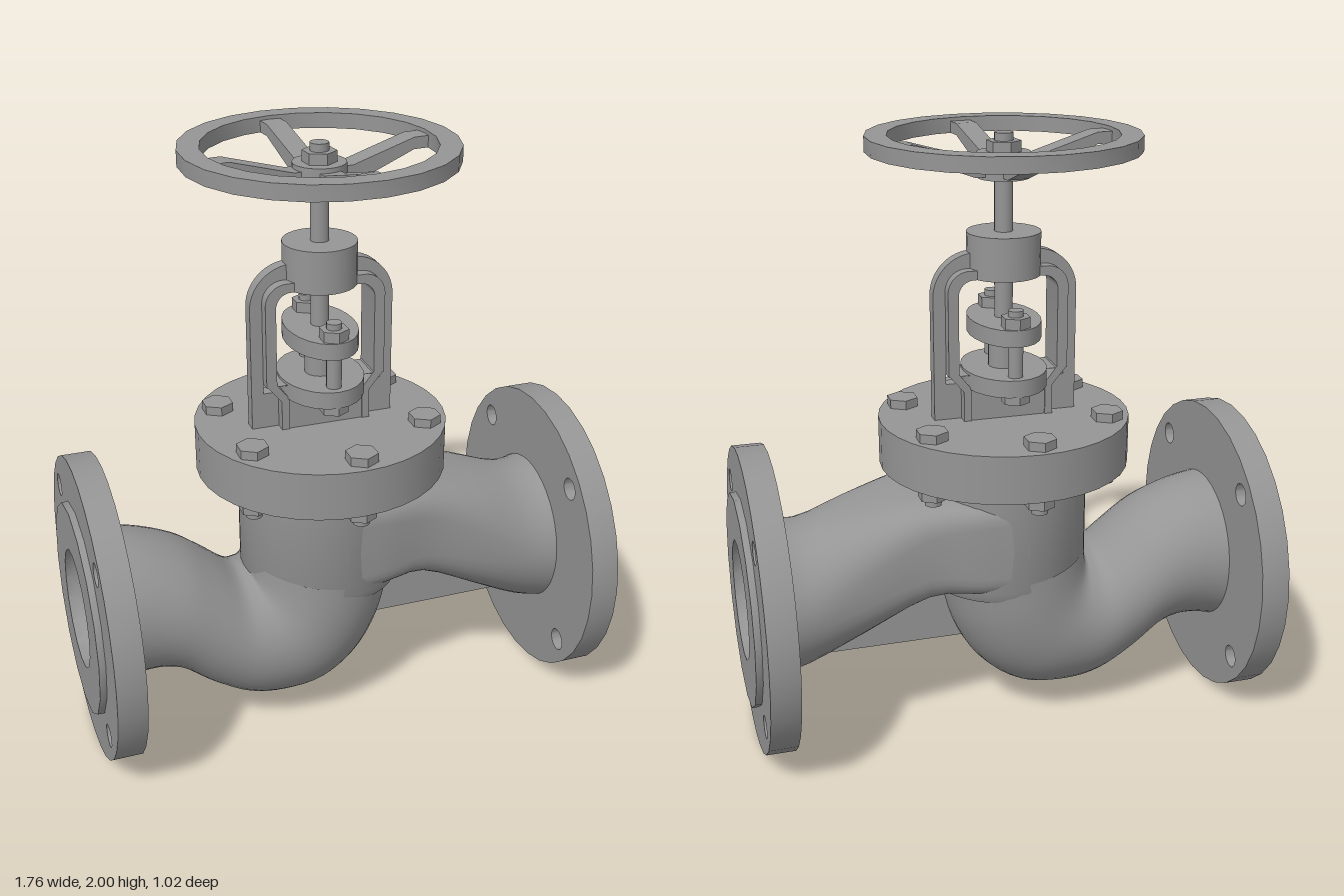
import * as THREE from 'three';
import { toCreasedNormals } from 'three/addons/utils/BufferGeometryUtils.js';

const castIron = new THREE.MeshStandardMaterial({ color: 0x959595 });
const castIronInside = new THREE.MeshStandardMaterial({ color: 0x959595, side: THREE.DoubleSide });
const AXIS = -0.025; // x of the stem axis

function add(parent, name, geo, x = 0, y = 0, z = 0, mat = castIron) {
  const m = new THREE.Mesh(geo, mat);
  m.name = name;
  m.position.set(x, y, z);
  parent.add(m);
  return m;
}

// upright cylinder from y0 to y1
function post(parent, name, r, y0, y1, x = 0, z = 0, sides = 24) {
  return add(parent, name, new THREE.CylinderGeometry(r, r, y1 - y0, sides), x, (y0 + y1) / 2, z);
}

// hexagonal nut or bolt head
function hex(parent, name, r, y0, y1, x = 0, z = 0) {
  const geo = toCreasedNormals(new THREE.CylinderGeometry(r, r, y1 - y0, 6), 0.5);
  return add(parent, name, geo, x, (y0 + y1) / 2, z);
}

const polygon = pts => new THREE.Shape(pts.map(p => new THREE.Vector2(...p)));

function extrude(shape, depth, curveSegments = 12) {
  const g = new THREE.ExtrudeGeometry(shape, { depth, bevelEnabled: false, curveSegments });
  g.translate(0, 0, -depth / 2);
  return toCreasedNormals(g, 0.6);
}

function lathe(profile, sides) {
  return toCreasedNormals(new THREE.LatheGeometry(profile.map(p => new THREE.Vector2(...p)), sides), 0.6);
}

function circle(r, x = 0, y = 0, Type = THREE.Path) {
  const p = new Type();
  p.absarc(x, y, r, 0, Math.PI * 2);
  return p;
}

// skin through sections [topX, topY, bottomX, bottomY, halfWidth, roundness], scaled about their centres
function loft(sections, steps, scale = 1, sides = 40) {
  const curve = f => new THREE.CatmullRomCurve3(sections.map(f), false, 'catmullrom', 0.5);
  const tops = curve(s => new THREE.Vector3(s[0], s[1], s[4]));
  const bottoms = curve(s => new THREE.Vector3(s[2], s[3], s[5] ?? 1));
  const power = (v, e) => Math.sign(v) * Math.abs(v) ** e;
  const n = (sections.length - 1) * steps;
  const pos = [], index = [];
  for (let i = 0; i <= n; i++) {
    const t = tops.getPoint(i / n), b = bottoms.getPoint(i / n);
    for (let j = 0; j < sides; j++) {
      const a = (j / sides) * Math.PI * 2;
      const c = power(Math.cos(a), b.z) * scale, s = power(Math.sin(a), b.z) * scale;
      pos.push((t.x + b.x) / 2 + c * (t.x - b.x) / 2, (t.y + b.y) / 2 + c * (t.y - b.y) / 2, s * t.z);
      if (i === n) continue;
      const k = i * sides + j, k1 = i * sides + (j + 1) % sides;
      index.push(k, k1, k + sides, k1, k1 + sides, k + sides);
    }
  }
  const g = new THREE.BufferGeometry();
  g.setAttribute('position', new THREE.Float32BufferAttribute(pos, 3));
  g.setIndex(index);
  g.computeVertexNormals();
  return g;
}

// doorway outline with rounded top corners
function arch(Type, hw, y0, y1, r) {
  const p = new Type();
  p.moveTo(-hw, y0);
  p.lineTo(hw, y0);
  p.lineTo(hw, y1 - r);
  p.absarc(hw - r, y1 - r, r, 0, Math.PI / 2);
  p.lineTo(-hw + r, y1);
  p.absarc(-hw + r, y1 - r, r, Math.PI / 2, Math.PI);
  p.closePath();
  return p;
}

function buildBody(root) {
  const body = new THREE.Group();
  body.name = 'body';
  root.add(body);
  const inlet = [
    [-0.82, 0.78, -0.82, 0.24, 0.265], [-0.67, 0.755, -0.68, 0.268, 0.245], [-0.53, 0.7, -0.57, 0.25, 0.242],
    [-0.43, 0.63, -0.45, 0.16, 0.242], [-0.35, 0.565, -0.33, 0.095, 0.245], [-0.31, 0.56, -0.2, 0.075, 0.252],
    [-0.3, 0.565, -0.05, 0.1, 0.262], [-0.3, 0.575, 0.08, 0.2, 0.27], [-0.3, 0.59, 0.165, 0.35, 0.276],
    [-0.3, 0.61, 0.21, 0.53, 0.278],
  ];
  // the outlet starts boxy, flush with the neck, and rounds off towards its flange
  const outlet = [
    [-0.03, 0.86, -0.03, 0.525, 0.278, 0.3], [0.12, 0.86, 0.12, 0.52, 0.265, 0.35], [0.3, 0.852, 0.28, 0.505, 0.235, 0.5],
    [0.5, 0.81, 0.49, 0.385, 0.238, 0.75], [0.68, 0.765, 0.68, 0.275, 0.247, 1], [0.82, 0.79, 0.82, 0.24, 0.265, 1],
  ];
  add(body, 'inletBend', loft(inlet, 4));
  add(body, 'outletPipe', loft(outlet, 3));
  // bores, each closed by a taper deep inside
  const inBore = [[-0.877, 0.773, -0.877, 0.247, 0.263], ...inlet.slice(1, 7), [-0.15, 0.4, -0.15, 0.4, 0]];
  const outBore = [[0.27, 0.64, 0.27, 0.64, 0], [0.5, 0.81, 0.49, 0.385, 0.238], [0.68, 0.765, 0.68, 0.275, 0.247], [0.877, 0.773, 0.877, 0.247, 0.263]];
  add(body, 'inletBore', loft(inBore, 3, 0.76), 0, 0, 0, castIronInside);
  add(body, 'outletBore', loft(outBore, 3, 0.76), 0, 0, 0, castIronInside);
  // neck under the bonnet
  add(body, 'neck', lathe([[0.26, 0.5], [0.278, 0.54], [0.278, 0.93]], 40), AXIS);
  // stiffening rib below the outlet
  add(body, 'supportRib', extrude(polygon([[0.12, 0.28], [0.76, 0.28], [0.69, 0.29], [0.49, 0.41], [0.29, 0.52], [0.12, 0.53]]), 0.04));
}

function buildPipeFlange(root, side) {
  const g = new THREE.Group();
  g.name = side < 0 ? 'inletFlange' : 'outletFlange';
  root.add(g);
  const disc = circle(0.51, 0, 0, THREE.Shape);
  disc.holes.push(circle(0.2));
  for (const y of [-0.305, 0.305]) for (const z of [-0.305, 0.305]) disc.holes.push(circle(0.038, z, y));
  const face = circle(0.357, 0, 0, THREE.Shape);
  face.holes.push(circle(0.2));
  add(g, 'flangeDisc', extrude(disc, 0.096, 16), side * 0.808, 0.51).rotation.y = Math.PI / 2;
  add(g, 'raisedFace', extrude(face, 0.024, 8), side * 0.866, 0.51).rotation.y = Math.PI / 2;
}

function buildBonnet(root) {
  const g = new THREE.Group();
  g.name = 'bonnet';
  g.position.x = AXIS;
  root.add(g);
  post(g, 'bonnetFlange', 0.415, 0.92, 1.08, 0, 0, 36);
  for (let i = 0; i < 6; i++) {
    const a = Math.PI / 6 - 0.05 + i * Math.PI / 3, x = 0.345 * Math.cos(a), z = 0.345 * Math.sin(a);
    hex(g, 'bonnetBoltHead', 0.053, 1.08, 1.11, x, z);
    hex(g, 'bonnetNut', 0.05, 0.88, 0.92, x, z);
    post(g, 'bonnetBoltEnd', 0.028, 0.857, 0.9, x, z, 12);
  }

  // yoke: thin outer web with a wider band lining the window
  const web = arch(THREE.Shape, 0.24, 1.08, 1.63, 0.14);
  web.holes.push(arch(THREE.Path, 0.2, 1.2, 1.565, 0.06));
  add(g, 'yokeWeb', extrude(web, 0.045));
  const band = arch(THREE.Shape, 0.2, 1.235, 1.58, 0.07);
  band.holes.push(arch(THREE.Path, 0.165, 1.236, 1.55, 0.05));
  add(g, 'yokeBand', extrude(band, 0.12));
  for (const s of [-1, 1]) {
    const foot = [[0.2, 1.24], [0.165, 1.24], [0.125, 1.19], [0.125, 1.08], [0.15, 1.08], [0.15, 1.18]];
    add(g, 'yokeFoot', extrude(polygon(foot.map(([x, y]) => [s * x, y])), 0.12));
  }
  post(g, 'yokeBoss', 0.12, 1.55, 1.69, 0, 0, 32);

  // packing box and gland
  add(g, 'packingBox', new THREE.BoxGeometry(0.26, 0.12, 0.11), 0, 1.14);
  post(g, 'glandLowerFlange', 0.138, 1.188, 1.245).scale.z = 1.33;
  post(g, 'glandUpperFlange', 0.115, 1.355, 1.41).scale.z = 1.6;
  post(g, 'glandSleeve', 0.05, 1.24, 1.36);
  for (const z of [-0.135, 0.135]) {
    post(g, 'glandBolt', 0.025, 1.165, 1.465, 0, z, 12);
    hex(g, 'glandBoltHead', 0.048, 1.16, 1.19, 0, z);
    hex(g, 'glandNut', 0.048, 1.41, 1.445, 0, z);
  }
  post(g, 'stem', 0.03, 1.2, 2.0, 0, 0, 16);
}

function buildHandwheel(root) {
  const g = new THREE.Group();
  g.name = 'handwheel';
  g.position.x = AXIS;
  g.rotation.y = 0.12;
  root.add(g);
  add(g, 'rim', lathe([[0.365, 1.947], [0.435, 1.947], [0.435, 1.997], [0.365, 1.997], [0.365, 1.947]], 24));
  post(g, 'hub', 0.085, 1.86, 1.94);
  hex(g, 'hubNut', 0.055, 1.94, 1.975);
  // cranked spokes rising from the hub to the rim
  const spoke = polygon([[0, 1.87], [0.11, 1.87], [0.31, 1.947], [0.38, 1.947], [0.38, 1.985], [0.31, 1.985], [0.1, 1.925], [0, 1.925]]);
  for (let i = 0; i < 4; i++) add(g, 'spoke', extrude(spoke, 0.07)).rotation.y = i * Math.PI / 2;
}

export function createModel() {
  const root = new THREE.Group();
  root.name = 'globeValve';
  buildBody(root);
  buildPipeFlange(root, -1);
  buildPipeFlange(root, 1);
  buildBonnet(root);
  buildHandwheel(root);
  return root;
}
